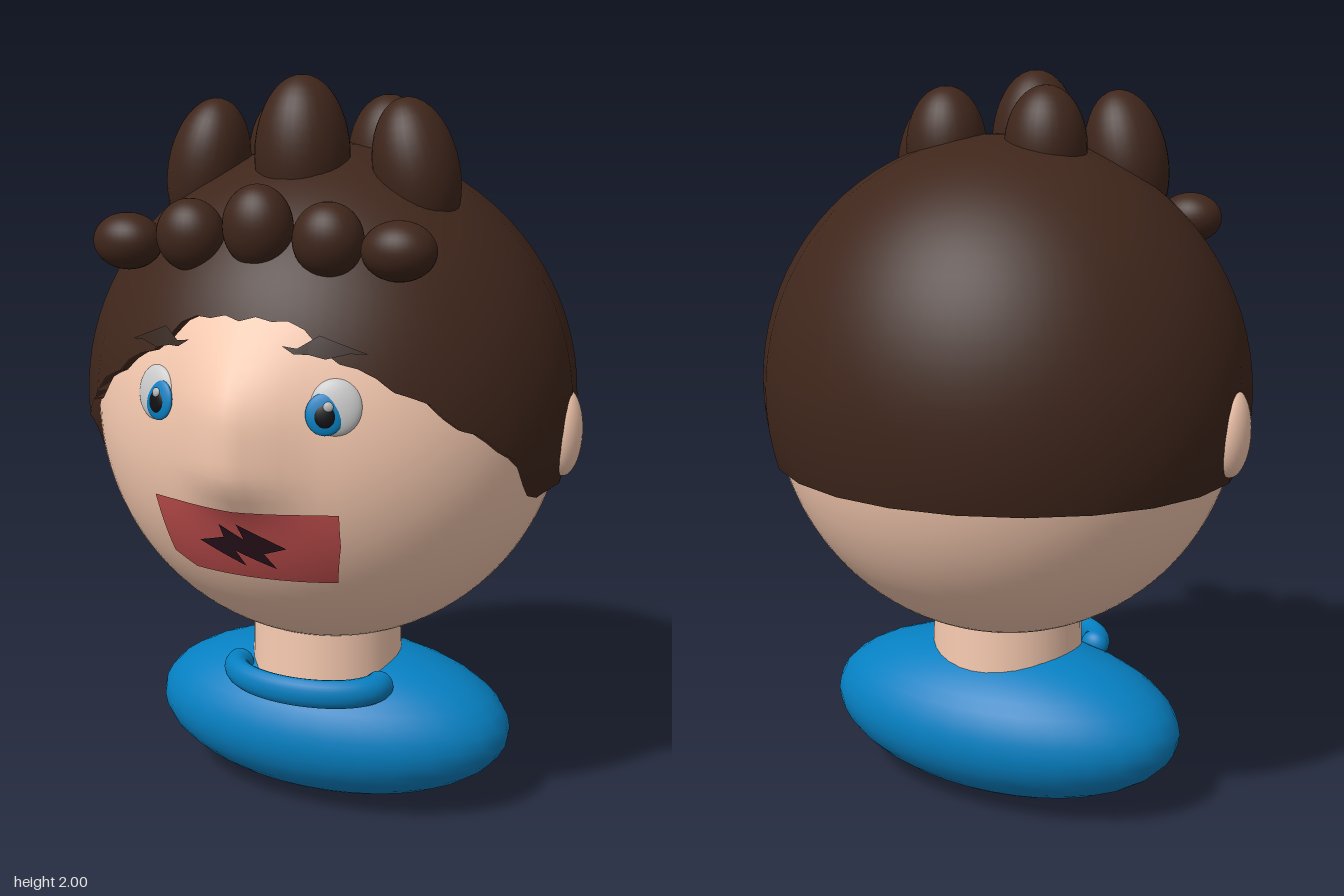
import * as THREE from 'three';
import { mergeVertices } from 'three/addons/utils/BufferGeometryUtils.js';

const mat = (color, side = THREE.FrontSide) => new THREE.MeshStandardMaterial({ color, side });
const SKIN = mat(0xf8cbb1), HAIR = mat(0x3f261b, THREE.DoubleSide), BLUE = mat(0x0680c2);
const BROW = mat(0x35241d), LIPS = mat(0xc4504f), DARK = mat(0x2c141e);
const WHITE = mat(0xffffff), BLACK = mat(0x101014), GLINT = mat(0xb8b8b8);

const CY = 1.14, CZ = -0.02;              // head centre
const RX = 0.64, RY = 0.652, RZ = 0.594;  // head radii

function add(parent, name, geometry, material, x = 0, y = 0, z = 0) {
  const mesh = new THREE.Mesh(geometry, material);
  mesh.name = name;
  mesh.position.set(x, y, z);
  parent.add(mesh);
  return mesh;
}

function blob(parent, name, material, [x, y, z], [rx, ry, rz]) {
  return add(parent, name, new THREE.SphereGeometry(1, 32, 20).scale(rx, ry, rz), material, x, y, z);
}

// Ridge down the middle of the face that forms the nose
function noseBulge(x, y) {
  const d = y < 1.08 ? (1.08 - y) / 0.1 : Math.max(0, y - 1.2) / 0.15;
  return 0.06 * Math.max(0, 1 - Math.abs(x) / 0.18) * Math.exp(-d * d);
}

function faceZ(x, y) {
  const k = 1 - (x / RX) ** 2 - ((y - CY) / RY) ** 2;
  return CZ + RZ * Math.sqrt(Math.max(0, k)) + noseBulge(x, y);
}

function headGeometry() {
  let g = new THREE.SphereGeometry(1, 96, 64).scale(RX, RY, RZ).translate(0, CY, CZ);
  const p = g.attributes.position;
  for (let i = 0; i < p.count; i++) {
    if (p.getZ(i) > 0.1) p.setZ(i, p.getZ(i) + noseBulge(p.getX(i), p.getY(i)));
  }
  g.deleteAttribute('uv');
  g.deleteAttribute('normal');
  g = mergeVertices(g, 1e-5);
  g.computeVertexNormals();
  return g;
}

// Height of the hair's edge by angle from the front, in degrees
const HAIRLINE = [[0, 1.435], [12, 1.445], [19, 1.375], [30, 1.31], [39, 1.26], [51, 1.17],
  [60, 1.12], [68, 1.05], [75, 0.97], [180, 0.97]];
function hairline(deg) {
  let i = 1;
  while (i < HAIRLINE.length - 1 && HAIRLINE[i][0] < deg) i++;
  const [a, ya] = HAIRLINE[i - 1], [b, yb] = HAIRLINE[i];
  const jag = deg < 75 ? 0.008 * Math.sin(deg * 0.5) : 0;
  return THREE.MathUtils.mapLinear(Math.min(deg, 180), a, b, ya, yb) + jag;
}

// Cap of hair: a 24-sided shell down to the hairline, last row turned in to the skin
function hairGeometry() {
  const rows = 25, cy = 1.16, rx = 0.672, ry = 0.675, rz = 0.612;
  const g = new THREE.SphereGeometry(1, 96, rows, 0, Math.PI * 2, 0, 3);
  const p = g.attributes.position, n = g.attributes.normal, v = new THREE.Vector3();
  for (let i = 0; i < p.count; i++) {
    const phi = (i % 97) / 96 * Math.PI * 2, row = Math.floor(i / 97);
    const x = -Math.cos(phi), z = Math.sin(phi);
    const deg = THREE.MathUtils.radToDeg(Math.abs(Math.atan2(x, z)));
    const t = Math.acos((hairline(deg) - cy) / ry) * Math.min(1, row / (rows - 1));
    const step = Math.PI / 12;
    const flat = Math.cos(step / 2) / Math.cos((phi % step) - step / 2);
    const s = Math.sin(t) * flat * (row === rows ? 0.94 : 1);
    p.setXYZ(i, rx * s * x, cy + ry * Math.cos(t), CZ + rz * s * z);
    v.set(Math.sin(t) * x / rx, Math.cos(t) / ry, Math.sin(t) * z / rz).normalize();
    n.setXYZ(i, v.x, v.y, v.z);
  }
  return g;
}

// Flat outline split finely and laid on the face
function facePatch(points, lift) {
  const flat = new THREE.ShapeGeometry(new THREE.Shape(points.map(([x, y]) => new THREE.Vector2(x, y))));
  const src = flat.toNonIndexed().attributes.position, out = [], n = 12;
  for (let t = 0; t < src.count; t += 3) {
    const [a, b, c] = [0, 1, 2].map(k => new THREE.Vector3().fromBufferAttribute(src, t + k));
    const put = (i, j) => {
      const x = a.x + (b.x - a.x) * i / n + (c.x - a.x) * j / n;
      const y = a.y + (b.y - a.y) * i / n + (c.y - a.y) * j / n;
      out.push(x, y, faceZ(x, y) + lift);
    };
    for (let i = 0; i < n; i++) {
      for (let j = 0; j < n - i; j++) {
        put(i, j); put(i + 1, j); put(i, j + 1);
        if (i + j < n - 1) { put(i + 1, j); put(i + 1, j + 1); put(i, j + 1); }
      }
    }
  }
  let g = new THREE.BufferGeometry();
  g.setAttribute('position', new THREE.Float32BufferAttribute(out, 3));
  g = mergeVertices(g, 1e-5);
  g.computeVertexNormals();
  return g;
}

export function createModel() {
  const model = new THREE.Group();
  model.name = 'bust';

  // Shoulders, neck and half-ring collar
  blob(model, 'shoulders', BLUE, [0, 0.226, -0.03], [0.53, 0.222, 0.3]);
  add(model, 'neck', new THREE.CylinderGeometry(0.208, 0.215, 0.3, 32), SKIN, 0, 0.43, 0);
  const collarShape = new THREE.TorusGeometry(0.21, 0.04, 16, 40, Math.PI).scale(1, 0.6, 1);
  add(model, 'collar', collarShape, BLUE, 0, 0.393, 0.14).rotation.x = Math.PI / 2;
  for (const s of [-1, 1]) blob(model, 'collarEnd', BLUE, [s * 0.21, 0.393, 0.14], [0.04, 0.04, 0.03]);

  // Head and hair
  add(model, 'head', headGeometry(), SKIN);
  add(model, 'hair', hairGeometry(), HAIR);
  blob(model, 'topCurl', HAIR, [0, 1.8, 0.165], [0.122, 0.2, 0.118]);
  blob(model, 'fringeCurl', HAIR, [0, 1.645, 0.43], [0.088, 0.1, 0.072]);

  for (const s of [-1, 1]) {
    const sideCurl = blob(model, 'sideCurl', HAIR, [s * 0.288, 1.765, 0.12], [0.108, 0.183, 0.107]);
    sideCurl.rotation.z = s * 0.22;
    blob(model, 'backCurl', HAIR, [s * 0.145, 1.8, -0.07], [0.108, 0.155, 0.1]);
    blob(model, 'fringeCurl', HAIR, [s * 0.18, 1.62, 0.43], [0.087, 0.088, 0.072]);
    blob(model, 'fringeCurl', HAIR, [s * 0.355, 1.6, 0.43], [0.09, 0.07, 0.072]);
    blob(model, 'ear', SKIN, [s * 0.65, 1.105, -0.03], [0.047, 0.116, 0.07]);

    // Eye, set almost flush with the face
    const eye = new THREE.Group();
    eye.name = s > 0 ? 'leftEye' : 'rightEye';
    eye.position.set(s * 0.235, 1.245, faceZ(0.235, 1.245) - 0.008);
    eye.rotation.set(-0.15, s * 0.35, 0, 'YXZ');
    model.add(eye);
    blob(eye, 'eyeWhite', WHITE, [0, 0, 0], [0.063, 0.068, 0.023]);
    blob(eye, 'iris', BLUE, [-s * 0.024, -0.016, 0.014], [0.046, 0.05, 0.012]);
    blob(eye, 'pupil', BLACK, [-s * 0.024, -0.02, 0.021], [0.026, 0.029, 0.008]);
    blob(eye, 'glint', GLINT, [0.004 - s * 0.02, 0.002, 0.026], [0.012, 0.012, 0.006]);

    // Eyebrow, standing just proud of the fringe
    const brow = [[0.12, 1.388], [0.155, 1.383], [0.2, 1.412], [0.24, 1.397], [0.31, 1.37],
      [0.27, 1.372], [0.22, 1.36], [0.18, 1.37], [0.15, 1.37]];
    add(model, 'eyebrow', facePatch(brow.map(([x, y]) => [s * x, y]), 0.04), BROW);
  }

  // Mouth
  add(model, 'lips', facePatch([[-0.25, 0.985], [-0.228, 0.825], [-0.165, 0.79], [0.215, 0.79],
    [0.24, 0.9], [0.245, 0.985]], 0.008), LIPS);
  add(model, 'mouthOpening', facePatch([[-0.12, 0.886], [0, 0.828], [-0.02, 0.87], [0.08, 0.828],
    [0.055, 0.87], [0.115, 0.89], [0, 0.95], [0.01, 0.907], [-0.05, 0.944], [-0.045, 0.907]], 0.014), DARK);

  return model;
}
